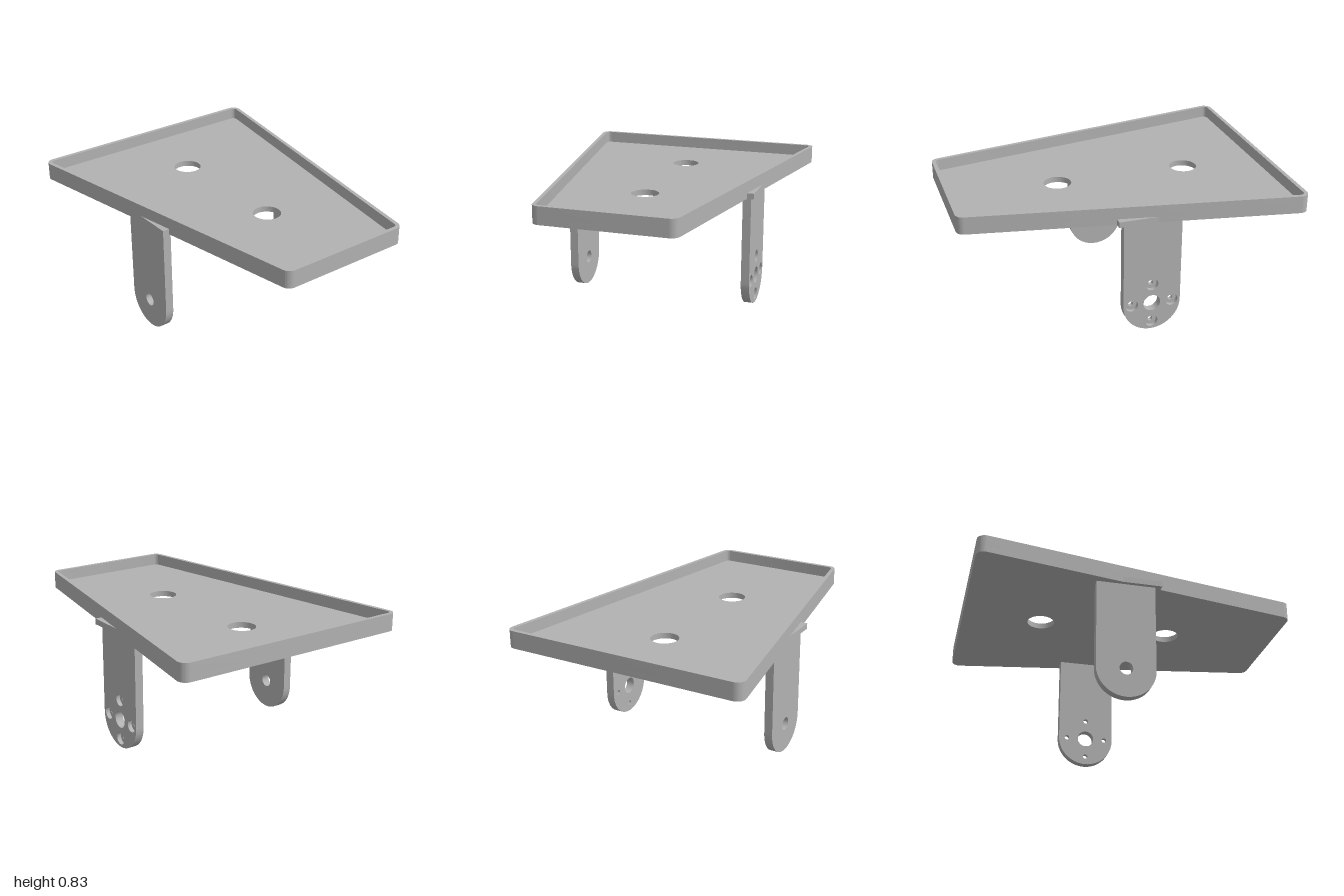
import * as THREE from 'three';
import { toCreasedNormals } from 'three/addons/utils/BufferGeometryUtils.js';

const BASE = 0.725, FLOOR = 0.76, RIM = 0.832; // tray heights
const LEG_X = -0.1, LEG_R = 0.178, LEG_T = 0.052, LEG_Z = 0.565;

// Tapered outline with rounded corners of radius r
function trayOutline(r, Type = THREE.Shape) {
  const d = Math.PI / 180;
  const s = new Type();
  s.absarc(0.95, 0.375, r, 0, 80 * d);
  s.absarc(-0.95, 0.71, r, 80 * d, 180 * d);
  s.absarc(-0.95, -0.71, r, 180 * d, 280 * d);
  s.absarc(0.95, -0.375, r, 280 * d, 360 * d);
  s.closePath();
  return s;
}

function circle(x, y, r) {
  return new THREE.Path().absarc(x, y, r, 0, Math.PI * 2, true);
}

function extrude(shape, depth) {
  const g = new THREE.ExtrudeGeometry(shape, { depth, bevelEnabled: false, curveSegments: 20 });
  return toCreasedNormals(g, 0.5);
}

// Leg plate with a round foot; holes are [x, y, radius]
function legPlate(holes, depth, z) {
  const s = new THREE.Shape();
  s.moveTo(LEG_X + LEG_R, BASE);
  s.lineTo(LEG_X - LEG_R, BASE);
  s.lineTo(LEG_X - LEG_R, LEG_R);
  s.absarc(LEG_X, LEG_R, LEG_R, Math.PI, Math.PI * 2);
  s.closePath();
  s.holes = holes.map((h) => circle(...h));
  return extrude(s, depth).translate(0, 0, z);
}

export function createModel() {
  const model = new THREE.Group();
  const grey = new THREE.MeshStandardMaterial({ color: 0xb2b2b2 });
  grey.name = 'plain grey';

  const add = (name, geometry, parent = model) => {
    const mesh = new THREE.Mesh(geometry, grey);
    mesh.name = name;
    parent.add(mesh);
    return mesh;
  };

  // Tray floor with two round openings
  const floor = trayOutline(0.05);
  floor.holes.push(circle(-0.51, 0, 0.084), circle(0.305, 0, 0.084));
  add('trayFloor', extrude(floor, FLOOR - BASE).rotateX(-Math.PI / 2).translate(0, BASE, 0));

  // Raised rim around the tray
  const rim = trayOutline(0.05);
  rim.holes.push(trayOutline(0.026, THREE.Path));
  add('trayRim', extrude(rim, RIM - FLOOR).rotateX(-Math.PI / 2).translate(0, FLOOR, 0));

  // Ledges that carry the legs
  for (const [name, side] of [['frontLedge', 1], ['backLedge', -1]]) {
    add(name, new THREE.BoxGeometry(0.43, FLOOR - BASE, 0.1))
      .position.set(LEG_X, (BASE + FLOOR) / 2, side * LEG_Z);
  }

  // Front leg with a single pivot hole
  add('frontLeg', legPlate([[LEG_X, LEG_R, 0.04]], LEG_T, LEG_Z - LEG_T / 2));

  // Back leg: pivot hole and four screw holes, counterbored from outside
  const backLeg = new THREE.Group();
  backLeg.name = 'backLeg';
  model.add(backLeg);
  const screws = (r) => [[1, 0], [0, 1], [-1, 0], [0, -1]]
    .map(([x, y]) => [LEG_X + x * 0.125, LEG_R + y * 0.125, r]);
  const pivot = [LEG_X, LEG_R, 0.052];
  const half = LEG_T / 2;
  add('backLegInnerPlate', legPlate([pivot, ...screws(0.015)], half, -LEG_Z), backLeg);
  add('backLegOuterPlate', legPlate([pivot, ...screws(0.038)], half, -LEG_Z - half), backLeg);

  return model;
}
